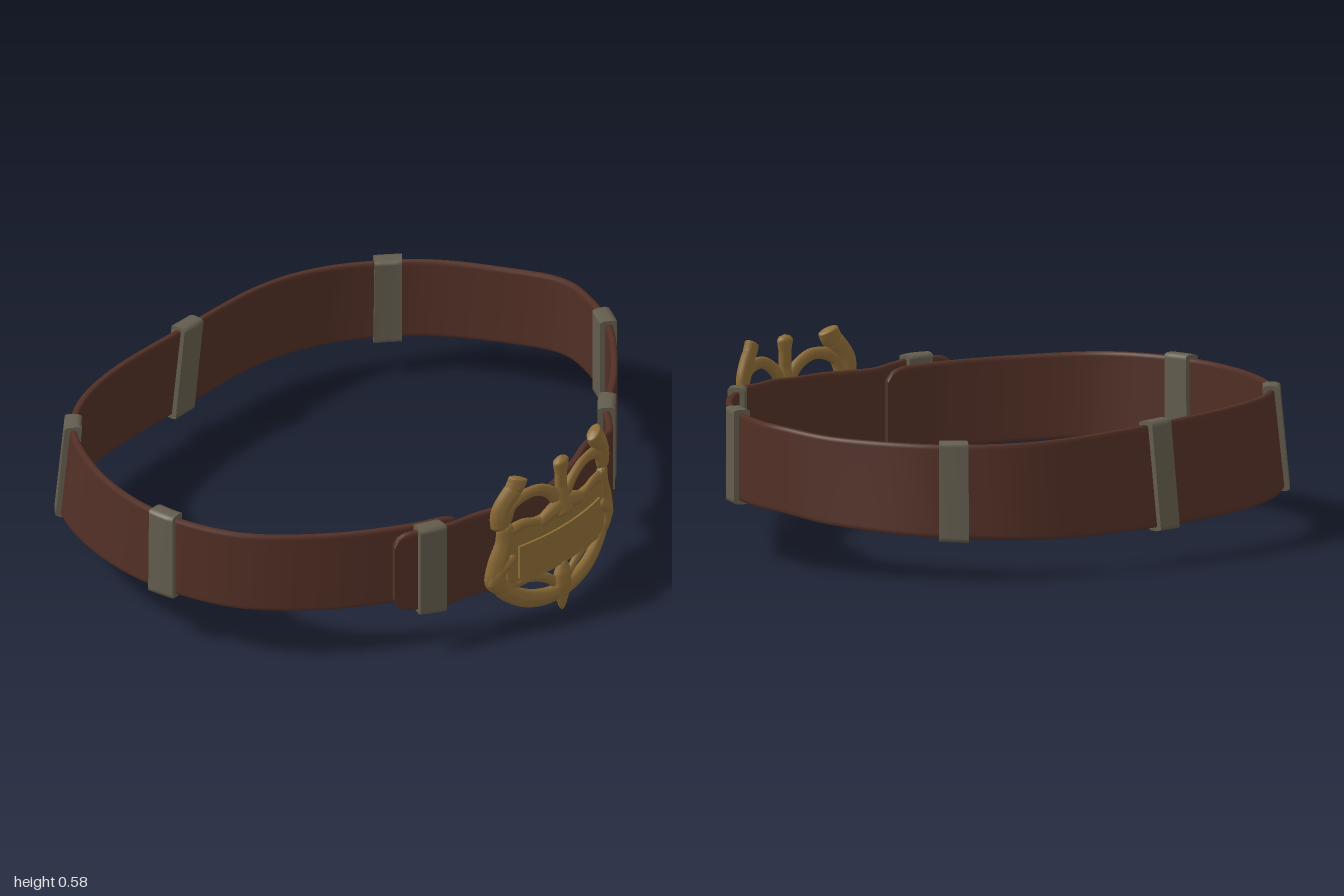
import * as THREE from 'three';

const material = (name, color) => {
  const m = new THREE.MeshStandardMaterial({ color });
  m.name = name;
  return m;
};

// Strap path, from the outer tip round to the inner tip: x, z, bottom, height
const path = [
  [-.58, .60, .19, .28], [-.46, .66, .17, .30], [-.38, .68, .16, .30], [-.28, .69, .15, .30],
  [-.12, .745, .14, .31], [.02, .755, .14, .31], [.16, .73, .15, .31], [.28, .69, .165, .30],
  [.37, .70, .175, .29], [.42, .66, .18, .29], [.48, .60, .19, .285], [.65, .49, .20, .28],
  [.84, .31, .20, .285], [.95, .12, .20, .28], [.98, -.02, .195, .28], [.95, -.20, .17, .285],
  [.86, -.42, .15, .295], [.74, -.575, .14, .30], [.57, -.705, .13, .31], [.35, -.775, .125, .32],
  [0, -.79, .12, .33], [-.35, -.785, .125, .335], [-.60, -.725, .14, .325], [-.78, -.59, .165, .305],
  [-.92, -.33, .19, .285], [-.965, -.05, .20, .28], [-.90, .22, .20, .28], [-.72, .42, .19, .28],
  [-.50, .57, .18, .28], [-.31, .65, .17, .28]
];
const last = path.length - 1;
const centre = new THREE.CatmullRomCurve3(path.map(([x, z, b, h]) => new THREE.Vector3(x, b + h / 2, z)), false, 'catmullrom');
const heights = new THREE.CatmullRomCurve3(path.map((p, i) => new THREE.Vector3(i, p[3], 0)), false, 'catmullrom');

// Rounded band section: [height fraction, thickness fraction]
const section = [
  [1, -.5], [1, .5], [.97, 1], [.9, 1], [0, 1], [-.9, 1], [-.97, 1],
  [-1, .5], [-1, -.5], [-.97, -1], [-.9, -1], [0, -1], [.9, -1], [.97, -1]
];

// Sweeps the section along part of the strap path, with s counted in path points
function sweep(s0, s1, steps, thick, extra, roundEnds) {
  const pos = [], index = [], n = section.length;
  const ringAt = (s) => {
    const u = s / last;
    const c = centre.getPoint(u), t = centre.getTangent(u).setY(0).normalize();
    let half = heights.getPoint(u).y / 2 + extra;
    if (roundEnds) {
      const e = Math.min(1, Math.min(s, last - s) / .4);
      half *= .72 + .28 * Math.sqrt(1 - (1 - e) ** 2);
    }
    const lean = Math.max(0, -c.z) * .025;
    for (const [v, w] of section) {
      const out = w * thick - v * lean;
      pos.push(c.x - t.z * out, c.y + v * half, c.z + t.x * out);
    }
  };
  for (let i = 0; i <= steps; i++) {
    ringAt(s0 + (s1 - s0) * i / steps);
    for (let j = 0; j < n && i < steps; j++) {
      const a = i * n + j, b = i * n + (j + 1) % n;
      index.push(a, b, a + n, b, b + n, a + n);
    }
  }
  // End caps on their own vertices keep the cut edges crisp
  for (const [s, start] of [[s0, true], [s1, false]]) {
    const k = pos.length / 3;
    ringAt(s);
    for (let j = 1; j < n - 1; j++) index.push(k, k + (start ? j + 1 : j), k + (start ? j : j + 1));
  }
  const g = new THREE.BufferGeometry();
  g.setAttribute('position', new THREE.Float32BufferAttribute(pos, 3));
  g.setIndex(index);
  g.computeVertexNormals();
  return g;
}

// Wraps a flat piece onto the curve of the buckle
function bend(g) {
  const p = g.attributes.position;
  for (let i = 0; i < p.count; i++) p.setZ(i, p.getZ(i) + .81 - .6 * p.getX(i) ** 2);
  g.computeVertexNormals();
  return g;
}

// Flattened bar of varying radius with closed ends
function bar(points, radii, raise = 0, flat = .6) {
  const curve = new THREE.CatmullRomCurve3(points.map(([x, y]) => new THREE.Vector3(x, y, 0)));
  const seg = 32, sides = 10;
  const g = new THREE.TubeGeometry(curve, seg, 1, sides);
  const p = g.attributes.position, v = new THREE.Vector3();
  for (let i = 0; i <= seg; i++) {
    const t = i / seg, c = curve.getPointAt(t), f = t * (radii.length - 1);
    const k = Math.min(Math.floor(f), radii.length - 2);
    const r = THREE.MathUtils.lerp(radii[k], radii[k + 1], f - k) * Math.sqrt(Math.min(1, Math.min(t, 1 - t) / .08));
    for (let j = 0; j <= sides; j++) {
      const a = i * (sides + 1) + j;
      v.fromBufferAttribute(p, a).sub(c).multiplyScalar(r);
      p.setXYZ(a, c.x + v.x, c.y + v.y, v.z * flat + raise);
    }
  }
  return bend(g);
}

export function createModel() {
  const leather = material('brown leather', 0x512f25);
  const pewter = material('dull pewter', 0x625c4d);
  const gold = material('aged gold', 0x8c6b36);
  const model = new THREE.Group();
  const add = (parent, name, geometry, mat) => {
    const m = new THREE.Mesh(geometry, mat);
    m.name = name;
    parent.add(m);
    return m;
  };

  add(model, 'strap', sweep(0, last, last * 10, .011, 0, true), leather);

  // Metal keepers around the strap
  const keepers = new THREE.Group();
  keepers.name = 'keepers';
  model.add(keepers);
  for (const [x, z] of [[-.46, .665], [.47, .60], [.87, .26], [.755, -.55], [.01, -.785], [-.725, -.65], [-.955, -.04]]) {
    let s = 0, best = Infinity;
    for (let i = 0; i <= last * 20; i++) {
      const c = centre.getPoint(i / (last * 20)), d = Math.hypot(c.x - x, c.z - z);
      if (d < best) { best = d; s = i / 20; }
    }
    const speed = centre.getPoint((s + .05) / last).distanceTo(centre.getPoint((s - .05) / last)) / .1;
    const ds = .046 / speed;
    add(keepers, 'keeper', sweep(s - ds, s + ds, 4, .028, .012, false), pewter);
  }

  // Ornate buckle
  const buckle = new THREE.Group();
  buckle.name = 'buckle';
  buckle.position.x = .005;
  model.add(buckle);

  const plate = new THREE.BoxGeometry(.48, .21, .026, 24, 6, 1);
  plate.translate(0, .29, 0);
  add(buckle, 'plaque', bend(plate), gold);
  const panel = new THREE.BoxGeometry(.40, .12, .012, 24, 2, 1);
  panel.translate(0, .27, .015);
  add(buckle, 'raisedPanel', bend(panel), gold);

  add(buckle, 'lowerRing', bar([[-.27, .25], [-.245, .18], [-.17, .12], [-.08, .088], [0, .08],
    [.08, .088], [.17, .12], [.245, .18], [.27, .25]], [.03, .032, .03, .032, .03]), gold);
  add(buckle, 'lowerSpike', bar([[0, .2], [0, .15], [0, .08], [0, .005]], [.014, .036, .04, .026, .008], .006), gold);
  add(buckle, 'centreProng', bar([[0, .36], [0, .44], [0, .52], [0, .582]], [.06, .04, .027, .027, .038]), gold);
  add(buckle, 'plaqueCrest', bar([[-.12, .37], [-.05, .395], [0, .405], [.05, .395], [.12, .37]], [.02, .03, .035, .03, .02], .004), gold);

  for (const s of [-1, 1]) {
    const side = (name, pts, radii, raise) =>
      add(buckle, name, bar(pts.map(([x, y]) => [s * x, y]), radii, raise), gold);
    side('arch', [[.25, .41], [.215, .485], [.13, .505], [.06, .475], [.01, .42]], [.028, .024, .02, .022, .028]);
    side('horn', [[.255, .40], [.252, .48], [.215, .53], [.175, .562]], [.03, .034, .033, .036, .024]);
    side('hornTip', [[.235, .52], [.20, .55], [.185, .582]], [.025, .036, .036]);
    side('sideScroll', [[.24, .43], [.245, .36], [.265, .29], [.275, .22], [.235, .17]], [.03, .03, .036, .036, .024], .004);
    side('sideCurl', [[.21, .30], [.255, .27], [.285, .235], [.30, .20]], [.015, .025, .024, .012], .012);
    side('lowerLeaf', [[.22, .19], [.14, .185], [.07, .155], [.02, .11]], [.024, .016, .018, .016], .002);
    side('plaqueShoulder', [[.24, .385], [.18, .40], [.11, .385], [.05, .39]], [.025, .02, .018, .02], .004);
  }
  return model;
}
